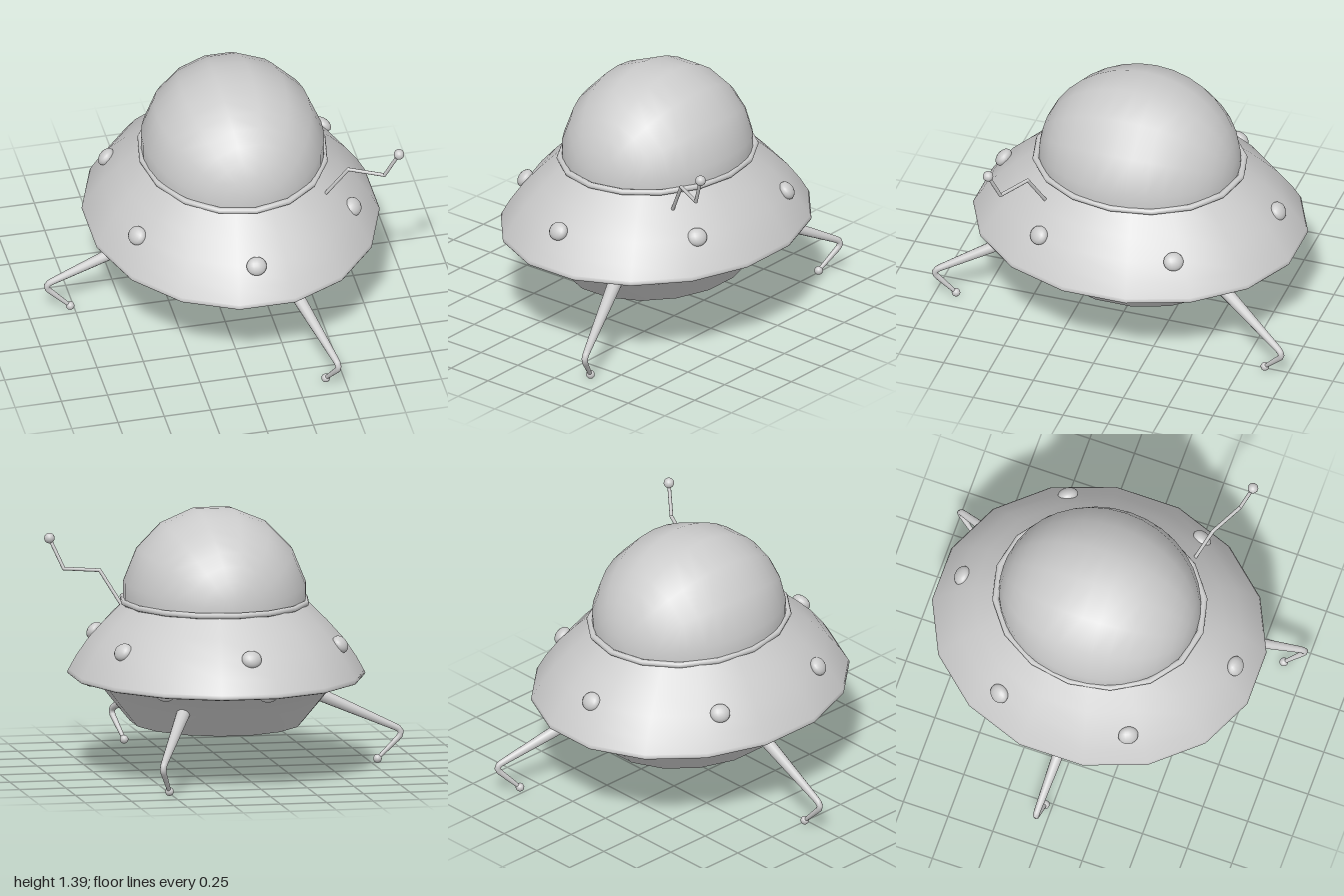
import * as THREE from 'three';

const CX = 0.095, CZ = -0.04, STRETCH = 1.15, SIDES = 16;
const grey = new THREE.MeshStandardMaterial({ color: 0xcccccc });
const greyDouble = new THREE.MeshStandardMaterial({ color: 0xcccccc, side: THREE.DoubleSide });
const v = (p) => new THREE.Vector3(...p);

function add(parent, name, geometry, material = grey) {
  const mesh = new THREE.Mesh(geometry, material);
  mesh.name = name;
  parent.add(mesh);
  return mesh;
}

// Turned hull section; points run outwards and upwards
function turned(parent, name, points) {
  const pts = points.map(([r, y]) => new THREE.Vector2(r, y));
  return add(parent, name, new THREE.LatheGeometry(pts, SIDES, Math.PI / SIDES), greyDouble);
}

// Tube whose radius changes along the path
function taperedTube(path, radiusAt, steps, sides) {
  const geo = new THREE.TubeGeometry(path, steps, 1, sides);
  const pos = geo.attributes.position, p = new THREE.Vector3();
  for (let i = 0; i < pos.count; i++) {
    const t = Math.floor(i / (sides + 1)) / steps;
    const c = path.getPointAt(t);
    p.fromBufferAttribute(pos, i).sub(c).multiplyScalar(radiusAt(t)).add(c);
    pos.setXYZ(i, p.x, p.y, p.z);
  }
  return geo;
}

function ball(parent, name, at, radius) {
  add(parent, name, new THREE.SphereGeometry(radius, 14, 10)).position.set(...at);
}

// Tapered leg with a rounded knee and a ball foot
function leg(parent, name, hip, knee, foot) {
  const g = new THREE.Group();
  g.name = name;
  const h = v(hip), k = v(knee), f = v(foot);
  const a = k.clone().lerp(h, 0.09), b = k.clone().lerp(f, 0.24);
  const path = new THREE.CurvePath();
  path.add(new THREE.LineCurve3(h, a));
  path.add(new THREE.QuadraticBezierCurve3(a, k, b));
  path.add(new THREE.LineCurve3(b, f));
  const radiusAt = (t) => t < 0.7 ? THREE.MathUtils.lerp(0.038, 0.018, t / 0.7)
    : THREE.MathUtils.lerp(0.018, 0.01, (t - 0.7) / 0.3);
  add(g, 'legTube', taperedTube(path, radiusAt, 36, 12), greyDouble);
  ball(g, 'footBall', foot, 0.023);
  parent.add(g);
}

// Flattened lamp seated on the hull, facing out at the given tilt
function lamp(parent, name, x, y, z, tilt, size) {
  const m = add(parent, name, new THREE.SphereGeometry(1, 16, 12));
  m.position.set(x, y, z);
  m.scale.set(...size);
  m.rotation.set(-tilt, Math.atan2(x - CX, z - CZ), 0, 'YXZ');
}

export function createModel() {
  const model = new THREE.Group();
  model.name = 'saucer';

  // Hull
  const hull = new THREE.Group();
  hull.name = 'hull';
  hull.position.set(CX, 0, CZ);
  hull.scale.z = STRETCH;
  model.add(hull);
  turned(hull, 'bottomPlate', [[0, 0.26], [0.453, 0.26]]);
  turned(hull, 'lowerHull', [[0.453, 0.26], [0.552, 0.38], [0.645, 0.5], [0.69, 0.512], [0.765, 0.507]]);
  turned(hull, 'rim', [[0.765, 0.507], [0.778, 0.512], [0.782, 0.522], [0.776, 0.535]]);
  turned(hull, 'upperHull', [[0.776, 0.535], [0.735, 0.61], [0.67, 0.705], [0.585, 0.8], [0.48, 0.905]]);

  // Dome: a faceted ball with its poles front and back, cut below the collar
  const domeGeo = new THREE.SphereGeometry(1, 9, 18, Math.PI - Math.PI / 16, Math.PI * 9 / 8);
  domeGeo.rotateX(Math.PI / 2);
  const dome = add(model, 'dome', domeGeo, greyDouble);
  dome.scale.set(0.49, 0.495, 0.54);
  dome.position.set(CX + 0.01, 0.912, CZ);

  const collar = add(model, 'collar', new THREE.TorusGeometry(0.487, 0.016, 8, SIDES).rotateX(Math.PI / 2));
  collar.scale.z = STRETCH;
  collar.position.set(CX + 0.01, 0.908, CZ);

  // Lamps on the upper hull
  const upper = [[0.06, -0.795], [-0.5, -0.39], [-0.495, 0.33], [0.06, 0.735], [0.675, 0.33], [0.675, -0.42]];
  for (const [x, z] of upper) lamp(model, 'upperLamp', x, 0.705, z, 0.65, [0.054, 0.05, 0.035]);

  // Lamps under the rim
  for (const deg of [93, 46, -5, -54, -100, 149, 206]) {
    const a = THREE.MathUtils.degToRad(deg);
    lamp(model, 'lowerLamp', CX + 0.69 * Math.cos(a), 0.505, CZ + 0.79 * Math.sin(a), 0, [0.048, 0.028, 0.036]);
  }

  // Legs
  leg(model, 'rightLeg', [-0.38, 0.42, -0.02], [-0.92, 0.175, -0.045], [-0.775, 0.03, -0.035]);
  leg(model, 'frontLeg', [0.285, 0.41, 0.53], [0.452, 0.17, 1.005], [0.4, 0.026, 0.885]);
  leg(model, 'backLeg', [0.37, 0.41, -0.55], [0.585, 0.17, -1.005], [0.52, 0.028, -0.877]);

  // Bent antenna
  const antenna = new THREE.Group();
  antenna.name = 'antenna';
  model.add(antenna);
  const bends = [[0.52, 0.825, 0.345], [0.63, 1.012, 0.408], [0.805, 1.012, 0.5], [0.873, 1.17, 0.546]];
  for (let i = 0; i < 3; i++) {
    const path = new THREE.LineCurve3(v(bends[i]), v(bends[i + 1]));
    add(antenna, 'antennaRod', new THREE.TubeGeometry(path, 1, 0.0095, 10));
    ball(antenna, i < 2 ? 'antennaJoint' : 'antennaTip', bends[i + 1], i < 2 ? 0.0095 : 0.028);
  }
  return model;
}
